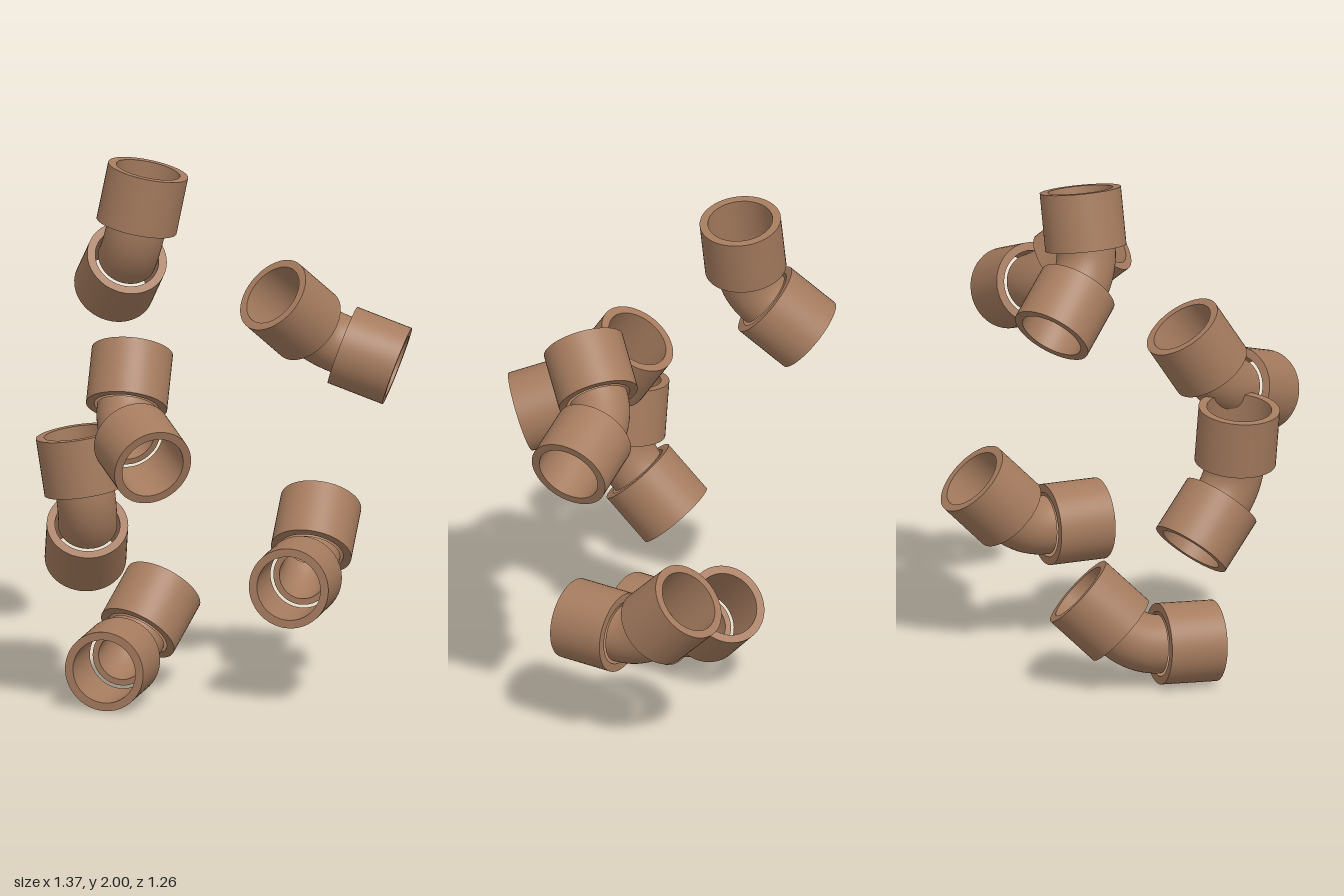
import * as THREE from 'three';
import { toCreasedNormals } from 'three/addons/utils/BufferGeometryUtils.js';

const BEND = Math.PI / 4;      // angle of every elbow
const REACH = 0.305;           // from bend corner to socket mouth
const START = 0.085;           // from bend corner to inner end of a socket
const SOCKET = { outer: 0.153, inner: 0.122 };
const NECK = { outer: 0.111, inner: 0.088 };

// Hollow pipe standing on y = 0, with flat rims at both ends
function pipe({ outer, inner }, height, steps) {
  const profile = [];
  for (let i = 0; i <= steps; i++) profile.push(new THREE.Vector2(outer, (height * i) / steps));
  for (let i = steps; i >= 0; i--) profile.push(new THREE.Vector2(inner, (height * i) / steps));
  profile.push(profile[0].clone());
  return new THREE.LatheGeometry(profile, 48);
}

// Smooth walls, sharp rims (enlarged while creasing so close vertices stay apart)
function crease(geometry) {
  geometry.scale(100, 100, 100);
  const result = toCreasedNormals(geometry, 0.6);
  result.scale(0.01, 0.01, 0.01);
  return result;
}

// Thin pipe curved through the bend angle towards +x, its corner at the origin
function bentNeck() {
  const geometry = pipe(NECK, 1, 10);
  const radius = START / Math.tan(BEND / 2);
  const p = geometry.attributes.position;
  for (let i = 0; i < p.count; i++) {
    const angle = p.getY(i) * BEND;
    const arm = radius - p.getX(i);
    p.setXY(i, radius - arm * Math.cos(angle), arm * Math.sin(angle) - START);
  }
  return crease(geometry);
}

// Bend corner, then the outward directions of the two sockets
const ELBOWS = [
  { name: 'topElbow', corner: [-0.402, 1.672, -0.308], first: [0.2, 0.98, 0], second: [-0.32, -0.68, -0.66] },
  { name: 'upperLeftElbow', corner: [0.345, 1.4, -0.095], first: [0.94, -0.34, 0], second: [-0.52, 0.64, 0.57] },
  { name: 'frontElbow', corner: [-0.345, 1.118, 0.297], first: [0.02, 0.83, -0.56], second: [0.478, -0.296, 0.828] },
  { name: 'middleElbow', corner: [-0.486, 0.783, 0.266], first: [-0.15, 0.99, 0], second: [-0.135, -0.72, -0.677] },
  { name: 'bottomElbow', corner: [-0.388, 0.169, -0.091], first: [-0.15, -0.04, 0.988], second: [0.36, 0.69, -0.635] },
  { name: 'lowerLeftElbow', corner: [0.275, 0.471, -0.212], first: [-0.09, 0, 0.996], second: [0.07, 0.7, -0.71] },
];

export function createModel() {
  const model = new THREE.Group();
  model.name = 'pipeElbows';
  const clay = new THREE.MeshStandardMaterial({ color: 0xa57b5e });
  clay.name = 'clayBrown';

  // Shared parts of every elbow
  const socketGeometry = crease(pipe(SOCKET, REACH - START, 1));
  const neckGeometry = bentNeck();

  for (const { name, corner, first, second } of ELBOWS) {
    const elbow = new THREE.Group();
    elbow.name = name;

    const neck = new THREE.Mesh(neckGeometry, clay);
    neck.name = 'neck';

    const firstSocket = new THREE.Mesh(socketGeometry, clay);
    firstSocket.name = 'firstSocket';
    firstSocket.position.y = -REACH;

    const secondSocket = new THREE.Mesh(socketGeometry, clay);
    secondSocket.name = 'secondSocket';
    secondSocket.rotation.z = -BEND;
    secondSocket.position.set(Math.sin(BEND) * START, Math.cos(BEND) * START, 0);
    elbow.add(neck, firstSocket, secondSocket);

    // Turn the elbow so its sockets point along the two directions
    const y = new THREE.Vector3(...first).normalize().negate();
    const x = new THREE.Vector3(...second);
    x.addScaledVector(y, -x.dot(y)).normalize();
    const z = new THREE.Vector3().crossVectors(x, y);
    elbow.quaternion.setFromRotationMatrix(new THREE.Matrix4().makeBasis(x, y, z));
    elbow.position.set(...corner);
    model.add(elbow);
  }
  return model;
}
